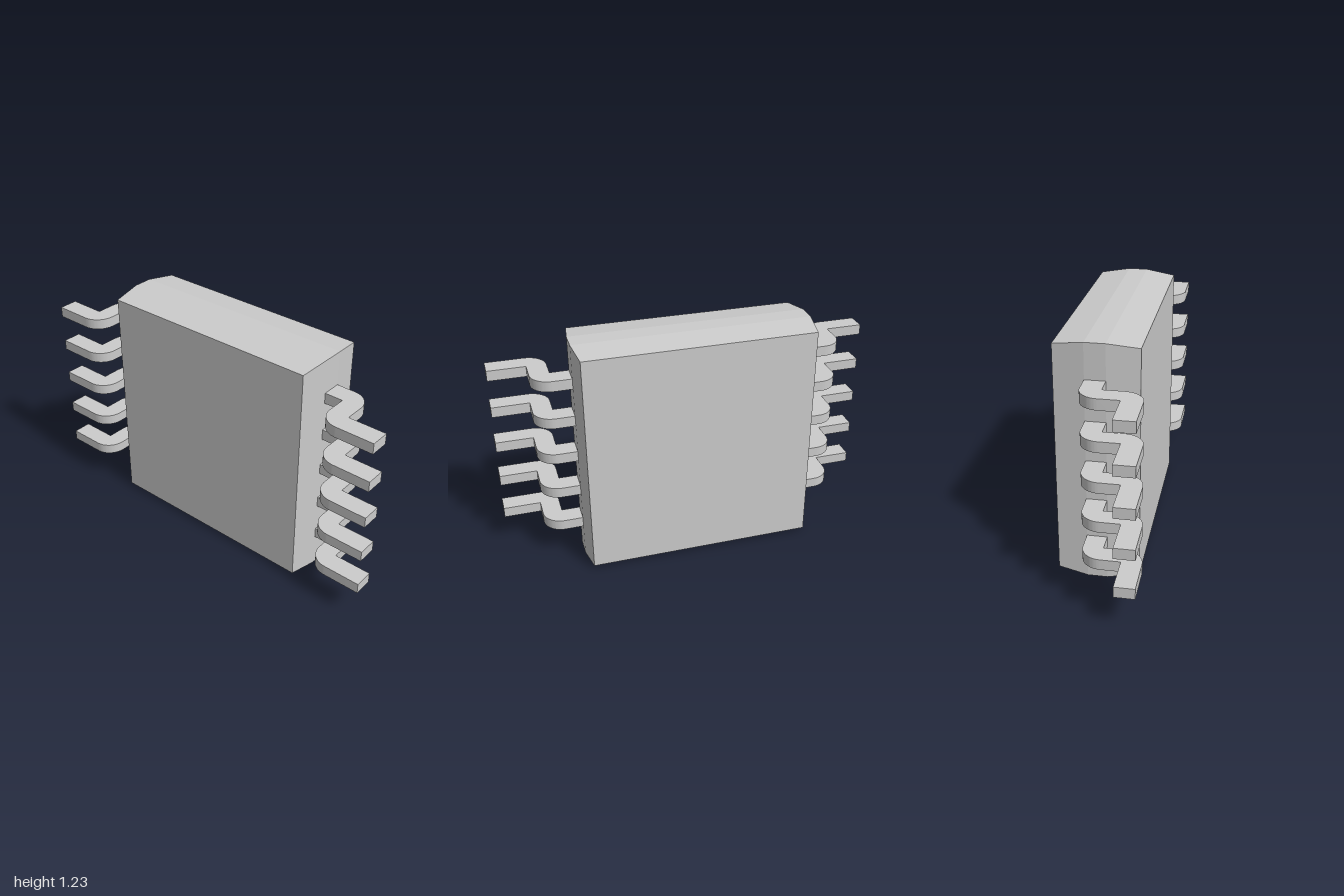
import * as THREE from 'three';
import { toCreasedNormals } from 'three/addons/utils/BufferGeometryUtils.js';

const material = new THREE.MeshStandardMaterial({ color: 0xcccccc });
const MID_Y = 0.6125;

// Moulded block: full size around the waist, tapering to the front and back faces
function packageBody() {
  const layers = [-0.225, -0.075, 0.025, 0.18];
  const taper = 0.021;
  let geo = new THREE.BoxGeometry(1.22, 1.225, 3, 1, 1, 3);
  const pos = geo.attributes.position;
  for (let i = 0; i < pos.count; i++) {
    const layer = Math.round(pos.getZ(i) + 1.5);
    const inset = layer === 0 || layer === 3 ? taper : 0;
    const x = pos.getX(i), y = pos.getY(i);
    pos.setXYZ(i, x - Math.sign(x) * inset, y - Math.sign(y) * inset, layers[layer]);
  }
  geo = geo.toNonIndexed();
  geo.computeVertexNormals();
  const mesh = new THREE.Mesh(geo, material);
  mesh.name = 'packageBody';
  mesh.position.y = MID_Y;
  return mesh;
}

// Gull-wing lead: profile drawn in x and -z, extruded upward; side is +1 or -1
function leadGeometry(side) {
  const outline = new THREE.Shape();
  outline.moveTo(0.6, 0.075);
  outline.lineTo(0.705, 0.075);
  outline.absarc(0.705, -0.025, 0.1, Math.PI / 2, 0, true);
  outline.lineTo(0.805, -0.125);
  outline.lineTo(1, -0.125);
  outline.lineTo(1, -0.225);
  outline.lineTo(0.805, -0.225);
  outline.absarc(0.805, -0.125, 0.1, Math.PI * 1.5, Math.PI, true);
  outline.lineTo(0.705, -0.025);
  outline.lineTo(0.6, -0.025);
  const points = outline.getPoints(12).map((p) => new THREE.Vector2(p.x * side, p.y));
  const thickness = 0.055;
  const geo = new THREE.ExtrudeGeometry(new THREE.Shape(points), { depth: thickness, bevelEnabled: false });
  geo.translate(0, 0, -thickness / 2);
  geo.rotateX(-Math.PI / 2);
  return toCreasedNormals(geo, 0.5);
}

export function createModel() {
  const model = new THREE.Group();
  model.name = 'chipPackage';
  model.add(packageBody());

  // Five leads along each side
  for (const [side, label] of [[1, 'left'], [-1, 'right']]) {
    const row = new THREE.Group();
    row.name = label + 'Leads';
    const geo = leadGeometry(side);
    for (let i = 0; i < 5; i++) {
      const lead = new THREE.Mesh(geo, material);
      lead.name = label + 'Lead' + (i + 1);
      lead.position.y = MID_Y + (i - 2) * 0.204;
      row.add(lead);
    }
    model.add(row);
  }
  return model;
}
